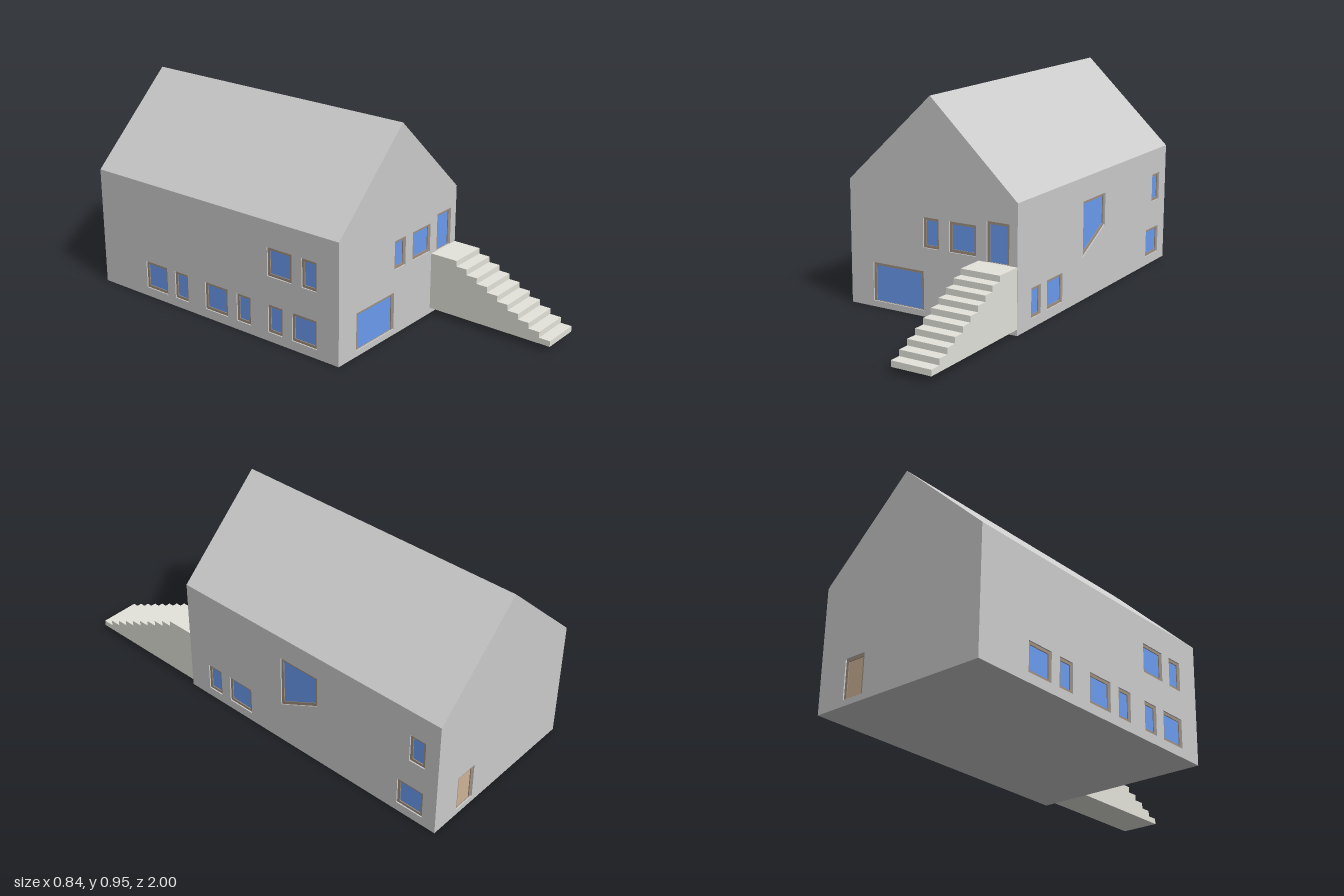
import * as THREE from 'three';

const HALF = 0.42, BACK = -1, FRONT = 0.39, EAVE = 0.555, RIDGE = 0.95;
const REVEAL = 0.012, FRAME_AT = 0.006, FRAME_W = 0.0125;

const mat = (color, side = THREE.FrontSide) =>
  new THREE.MeshStandardMaterial({ color, side, flatShading: true });
const wallMat = mat(0xcccccc);
const revealMat = mat(0xcccccc, THREE.DoubleSide);
const stairMat = mat(0xe4e4dc);
const frameMat = mat(0xa09080);
const glassMat = mat(0x6a9bf0);
const doorMat = mat(0xd0b296);

function add(parent, name, geometry, material) {
  const mesh = new THREE.Mesh(geometry, material);
  mesh.name = name;
  parent.add(mesh);
  return mesh;
}

const toPoints = (list) => list.map(([x, y]) => new THREE.Vector2(x, y));

// Counter-clockwise rectangle, bottom edge first
const rect = (x0, x1, y0, y1) => toPoints([[x0, y0], [x1, y0], [x1, y1], [x0, y1]]);

// Moves every edge of a convex outline inwards; the first edge can have its own width
function inset(points, width, bottomWidth) {
  const n = points.length;
  const lines = points.map((p, i) => {
    const d = points[(i + 1) % n].clone().sub(p).normalize();
    const normal = new THREE.Vector2(-d.y, d.x);
    return { d, p: p.clone().addScaledVector(normal, i === 0 ? bottomWidth : width) };
  });
  return lines.map((b, i) => {
    const a = lines[(i + n - 1) % n];
    const t = b.p.clone().sub(a.p).cross(b.d) / a.d.cross(b.d);
    return a.p.clone().addScaledVector(a.d, t);
  });
}

// Strip of wall thickness around an opening
function revealGeometry(points) {
  const pos = [];
  points.forEach((p, i) => {
    const q = points[(i + 1) % points.length];
    pos.push(p.x, p.y, 0, p.x, p.y, -REVEAL, q.x, q.y, -REVEAL);
    pos.push(p.x, p.y, 0, q.x, q.y, -REVEAL, q.x, q.y, 0);
  });
  const g = new THREE.BufferGeometry();
  g.setAttribute('position', new THREE.Float32BufferAttribute(pos, 3));
  g.computeVertexNormals();
  return g;
}

// Recessed frame and pane; toFloor leaves out the bottom rail
function addOpening(wall, { points, name = 'window', toFloor = false, fill = glassMat }) {
  const group = new THREE.Group();
  group.name = name;
  wall.add(group);
  add(group, 'reveal', revealGeometry(points), revealMat);

  const ring = new THREE.Shape(points);
  ring.holes.push(new THREE.Path(inset(points, FRAME_W, toFloor ? 0.001 : FRAME_W)));
  const frame = new THREE.ExtrudeGeometry(ring, { depth: REVEAL - FRAME_AT, bevelEnabled: false });
  add(group, 'frame', frame.translate(0, 0, -REVEAL), frameMat);

  const pane = new THREE.ShapeGeometry(new THREE.Shape(points));
  add(group, 'pane', pane.translate(0, 0, -REVEAL + 0.002), fill);
}

// A wall drawn in its own plane, with its openings cut out
function addWall(parent, name, outline, openings) {
  const wall = new THREE.Group();
  wall.name = name;
  parent.add(wall);
  const shape = new THREE.Shape(outline);
  openings.forEach((o) => shape.holes.push(new THREE.Path(o.points)));
  add(wall, name + 'Surface', new THREE.ShapeGeometry(shape), wallMat);
  openings.forEach((o) => addOpening(wall, o));
  return wall;
}

export function createModel() {
  const house = new THREE.Group();
  house.name = 'house';
  const gable = toPoints([[-HALF, 0], [HALF, 0], [HALF, EAVE], [0, RIDGE], [-HALF, EAVE]]);
  const low = (a, b) => ({ points: rect(a, b, 0.042, 0.173) });
  const high = (a, b) => ({ points: rect(a, b, 0.304, 0.436) });

  // Front gable
  addWall(house, 'frontWall', gable, [
    high(-0.04, 0.039),
    high(0.091, 0.223),
    { points: rect(0.274, 0.381, 0.29, 0.463), name: 'entranceDoor', toFloor: true },
    { points: rect(-0.303, -0.039, 0.027, 0.2), name: 'groundFloorDoor', toFloor: true },
  ]).position.z = FRONT;

  // Back gable
  const back = addWall(house, 'backWall', gable, [
    { points: rect(-0.281, -0.175, 0.027, 0.2), name: 'backDoor', toFloor: true, fill: doorMat },
  ]);
  back.position.z = BACK;
  back.rotation.y = Math.PI;

  // Left wall, with the slanted stair window
  const left = addWall(house, 'leftWall', rect(-FRONT, -BACK, 0, EAVE), [
    low(-0.278, -0.199),
    low(-0.147, -0.015),
    low(0.802, 0.933),
    high(0.855, 0.933),
    { points: toPoints([[0.165, 0.195], [0.37, 0.3], [0.37, 0.447], [0.165, 0.447]]), name: 'stairWindow' },
  ]);
  left.position.x = HALF;
  left.rotation.y = Math.PI / 2;

  // Right wall
  const right = addWall(house, 'rightWall', rect(BACK, FRONT, 0, EAVE), [
    low(-0.727, -0.594),
    low(-0.546, -0.465),
    low(-0.36, -0.226),
    low(-0.172, -0.092),
    low(0.007, 0.088),
    low(0.14, 0.274),
    high(0.007, 0.141),
    high(0.194, 0.274),
  ]);
  right.position.x = -HALF;
  right.rotation.y = -Math.PI / 2;

  // Roof slopes and floor
  const length = FRONT - BACK, midZ = (FRONT + BACK) / 2, rise = RIDGE - EAVE;
  for (const side of [1, -1]) {
    const slope = new THREE.PlaneGeometry(Math.hypot(HALF, rise), length)
      .rotateX(-Math.PI / 2)
      .rotateZ(-side * Math.atan2(rise, HALF))
      .translate(side * HALF / 2, (RIDGE + EAVE) / 2, midZ);
    add(house, side > 0 ? 'leftRoof' : 'rightRoof', slope, wallMat);
  }
  const floor = new THREE.PlaneGeometry(HALF * 2, length).rotateX(Math.PI / 2).translate(0, 0, midZ);
  add(house, 'floor', floor, wallMat);

  // Outside stairs: ten risers up to a landing
  const base = 0.027, riser = 0.0263, tread = 0.053, steps = 10;
  const profile = [[FRONT, base], [1, base]];
  for (let i = 0; i < steps; i++) {
    const y = base + riser * (i + 1);
    profile.push([1 - tread * i, y], [i === steps - 1 ? FRONT : 1 - tread * (i + 1), y]);
  }
  const stairs = new THREE.ExtrudeGeometry(new THREE.Shape(toPoints(profile)), { depth: 0.184, bevelEnabled: false });
  add(house, 'frontStairs', stairs.rotateY(-Math.PI / 2).translate(HALF - 0.001, 0, 0), stairMat);

  return house;
}
